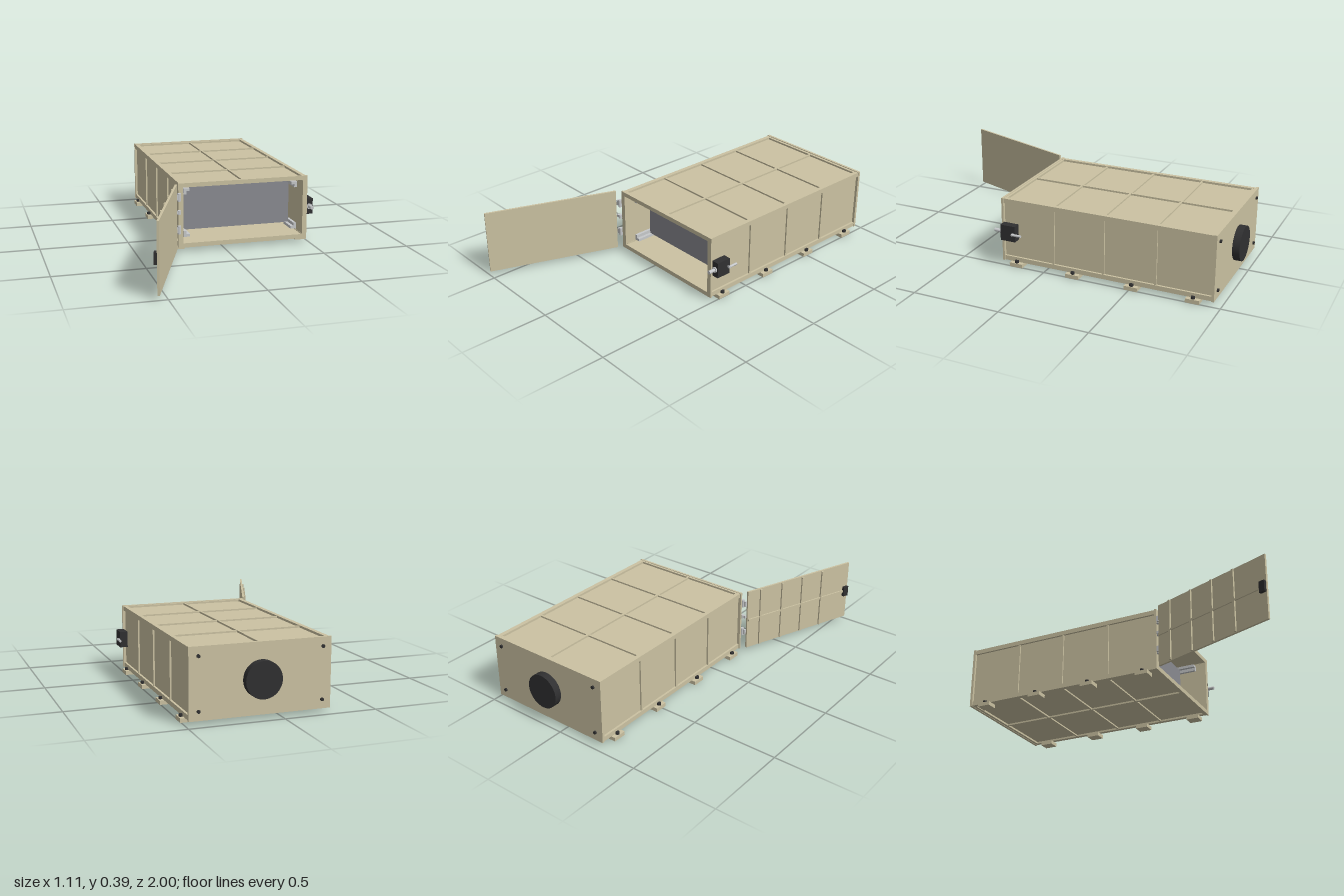
import * as THREE from 'three';

const mat = (name, color) => {
  const m = new THREE.MeshStandardMaterial({ color });
  m.name = name;
  return m;
};

export function createModel() {
  const beige = mat('beige paint', 0xcbc2a2);
  const black = mat('black plastic', 0x303031);
  const grey = mat('grey core', 0x8a8b91);
  const steel = mat('light steel', 0xc6c8ca);

  const model = new THREE.Group();
  model.name = 'ventedCabinet';

  // box given by its min and max corners
  const box = (name, m, x0, x1, y0, y1, z0, z1, parent = model) => {
    const mesh = new THREE.Mesh(new THREE.BoxGeometry(x1 - x0, y1 - y0, z1 - z0), m);
    mesh.position.set((x0 + x1) / 2, (y0 + y1) / 2, (z0 + z1) / 2);
    mesh.name = name;
    parent.add(mesh);
    return mesh;
  };
  // cylinder centred at a point along the chosen axis
  const cyl = (name, m, r, len, x, y, z, axis = 'y', parent = model, sides = 20) => {
    const mesh = new THREE.Mesh(new THREE.CylinderGeometry(r, r, len, sides), m);
    if (axis === 'z') mesh.rotation.x = Math.PI / 2;
    if (axis === 'x') mesh.rotation.z = Math.PI / 2;
    mesh.position.set(x, y, z);
    mesh.name = name;
    parent.add(mesh);
    return mesh;
  };

  const CX = 0.112, CY = 0.205;         // centre of the cabinet section
  const zF = 0.25, zB = -0.945;         // shell front and back
  const L = -0.247, R = 0.471, B = 0.035, T = 0.374; // panel faces

  // shell panels
  box('topPanel', beige, L, R, T - 0.01, T, zB, zF);
  box('bottomPanel', beige, L, R, B, B + 0.01, zB, zF);
  box('rightPanel', beige, L, L + 0.01, B, T, zB, zF);
  box('leftPanel', beige, R - 0.01, R, B, T, zB, zF);

  // edge rails and stiffening ribs
  for (const s of [-1, 1]) {
    const x = CX + s * 0.359;
    for (const [y0, y1] of [[0.024, 0.05], [0.36, 0.386]]) {
      box('edgeRail', beige, x - 0.012, x + 0.012, y0, y1, zB, zF);
    }
    for (const [y0, y1] of [[0.024, 0.036], [0.373, 0.385]]) {
      for (const z of [zF - 0.008, zB + 0.008]) {
        box('crossRail', beige, L, R, y0, y1, z - 0.008, z + 0.008);
      }
    }
  }
  for (const z of [-0.05, -0.343, -0.638]) {
    box('topRib', beige, L, R, T, T + 0.009, z - 0.006, z + 0.006);
    box('bottomRib', beige, L, R, B - 0.009, B, z - 0.006, z + 0.006);
    box('rightRib', beige, L - 0.009, L, 0.05, 0.36, z - 0.006, z + 0.006);
    box('leftRib', beige, R, R + 0.009, 0.05, 0.36, z - 0.006, z + 0.006);
  }
  box('topSpine', beige, CX - 0.006, CX + 0.006, T, T + 0.01, zB, zF);
  box('bottomSpine', beige, CX - 0.006, CX + 0.006, B - 0.01, B, zB, zF);

  // front flange around the opening
  const rect = (P, x0, x1, y0, y1) => {
    const p = new P();
    p.moveTo(x0, y0); p.lineTo(x1, y0); p.lineTo(x1, y1); p.lineTo(x0, y1); p.closePath();
    return p;
  };
  const frame = rect(THREE.Shape, -0.265, 0.488, 0.022, 0.388);
  frame.holes.push(rect(THREE.Path, -0.237, 0.461, 0.047, 0.364));
  const flange = new THREE.Mesh(new THREE.ExtrudeGeometry(frame, { depth: 0.012, bevelEnabled: false }), beige);
  flange.position.z = 0.247;
  flange.name = 'frontFlange';
  model.add(flange);

  // back plate with bolts and round fan housing
  box('backPlate', beige, -0.262, 0.486, 0.022, 0.389, -0.96, -0.945);
  for (const x of [-0.215, 0.437]) {
    for (const y of [0.07, 0.342]) cyl('backBolt', black, 0.009, 0.012, x, y, -0.963, 'z');
  }
  cyl('fanHousing', black, 0.096, 0.04, CX, CY, -0.98, 'z', model, 48);

  // inner core held by four corner guides
  box('core', grey, -0.204, 0.434, 0.08, 0.331, -0.9, 0.1);
  const angle = new THREE.Shape();
  [[0, 0], [0.034, 0], [0.034, 0.016], [0.016, 0.016], [0.016, 0.034], [0, 0.034]]
    .forEach(([x, y], i) => (i ? angle.lineTo(x, y) : angle.moveTo(x, y)));
  const angleGeo = new THREE.ExtrudeGeometry(angle, { depth: 0.12, bevelEnabled: false });
  [[-0.22, 0.066, 0], [0.447, 0.066, 1], [0.447, 0.344, 2], [-0.22, 0.344, 3]].forEach(([x, y, k]) => {
    const guide = new THREE.Mesh(angleGeo, steel);
    guide.position.set(x, y, 0.08);
    guide.rotation.z = k * Math.PI / 2;
    guide.name = 'cornerGuide';
    model.add(guide);
  });

  // feet with their bolts
  for (const z of [0.17, -0.17, -0.51, -0.85]) {
    for (const s of [-1, 1]) {
      const x = CX + s * 0.361;
      box('foot', beige, x - 0.032, x + 0.032, 0, 0.022, z - 0.038, z + 0.038);
      cyl('footBolt', black, 0.011, 0.014, CX + s * 0.378, 0.028, z, 'y');
    }
  }

  // open door, ribbed on its outer side
  const door = new THREE.Group();
  door.name = 'door';
  door.position.set(-0.285, 0, 0.285);
  door.rotation.y = Math.atan2(-0.938, -0.346);
  model.add(door);
  box('doorPanel', beige, 0, 0.755, 0.022, 0.39, -0.006, 0.006, door);
  for (const x of [0.09, 0.245, 0.395, 0.545]) {
    box('doorRib', beige, x - 0.006, x + 0.006, 0.026, 0.386, 0.006, 0.016, door);
  }
  box('doorSpine', beige, 0.005, 0.75, 0.2, 0.212, 0.006, 0.014, door);
  box('doorCatch', black, 0.718, 0.752, 0.174, 0.236, 0.006, 0.022, door);

  // hinges
  for (const [y, h] of [[0.314, 0.045], [0.229, 0.022], [0.13, 0.045]]) {
    cyl('hingeKnuckle', steel, 0.01, h, -0.264, y, 0.272, 'y');
    box('hingeLeaf', steel, -0.285, -0.262, y - h * 0.35, y + h * 0.35, 0.268, 0.28);
  }

  // latch on the side wall
  box('latchBody', black, 0.484, 0.528, 0.16, 0.25, 0.158, 0.246);
  cyl('latchCollar', steel, 0.016, 0.008, 0.507, CY, 0.249, 'z');
  cyl('latchPin', steel, 0.01, 0.05, 0.507, CY, 0.267, 'z');
  cyl('latchArm', steel, 0.006, 0.022, 0.533, CY, 0.17, 'x');
  cyl('latchHandle', steel, 0.007, 0.058, 0.537, CY, 0.146, 'z');

  return model;
}
